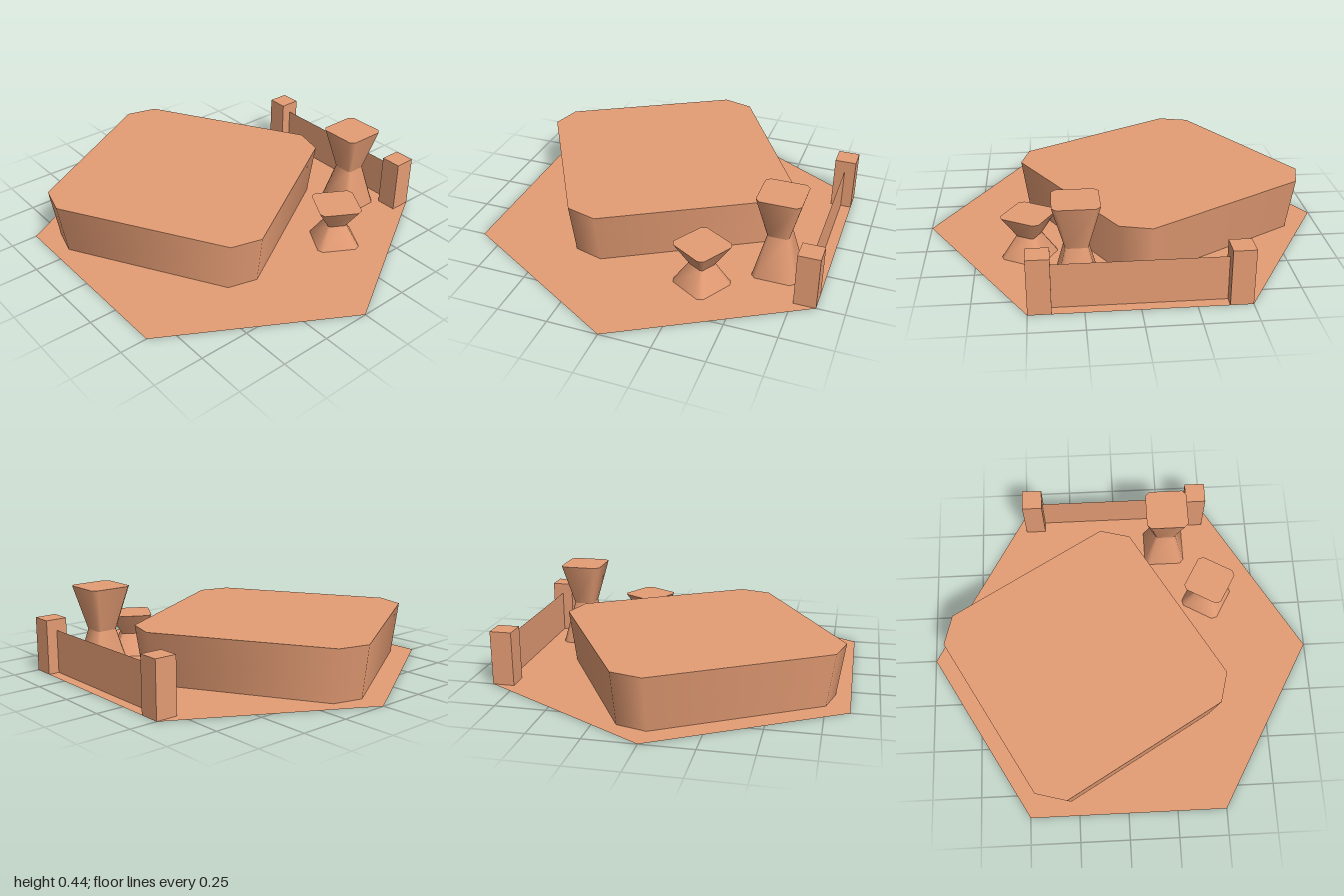
import * as THREE from 'three';

const clay = new THREE.MeshStandardMaterial({ color: 0xe49c74, side: THREE.DoubleSide });
clay.name = 'clay';

// Corner points of a square with cut corners, running from +x towards +z
function cutSquare(half, y) {
  const e = half * 0.8;
  return [[half, -e], [half, e], [e, half], [-e, half], [-half, e], [-half, -e], [-e, -half], [e, -half]]
    .map(([x, z]) => [x, y, z]);
}

function indexed(points, normals, index) {
  const geometry = new THREE.BufferGeometry();
  geometry.setAttribute('position', new THREE.Float32BufferAttribute(points.flat(), 3));
  geometry.setAttribute('normal', new THREE.Float32BufferAttribute(normals.flat(), 3));
  geometry.setIndex(index);
  geometry.normalizeNormals();
  return geometry;
}

// Wall between two levels, shaded smoothly around the corners
function bandGeometry([half0, y0], [half1, y1]) {
  const lower = cutSquare(half0, y0), upper = cutSquare(half1, y1);
  const n = lower.length, index = [];
  const slope = (half0 - half1) / (y1 - y0);
  const normals = lower.map((_, i) => {
    const angle = (i - 0.5) * Math.PI / 4;
    return [Math.cos(angle), slope, Math.sin(angle)];
  });
  for (let i = 0; i < n; i++) {
    const j = (i + 1) % n;
    index.push(i, i + n, j, j, i + n, j + n);
  }
  return indexed([...lower, ...upper], [...normals, ...normals], index);
}

// Flat lid on a level
function lidGeometry([half, y]) {
  const ring = cutSquare(half, y), index = [];
  for (let i = 1; i < ring.length - 1; i++) index.push(0, i + 1, i);
  return indexed(ring, ring.map(() => [0, 1, 0]), index);
}

function addMesh(parent, name, geometry, x = 0, y = 0, z = 0) {
  const mesh = new THREE.Mesh(geometry, clay);
  mesh.name = name;
  mesh.position.set(x, y, z);
  parent.add(mesh);
}

// Stack of cut-square levels [half width, height], closed on top
function addStack(parent, name, levels, x, z, turn) {
  const group = new THREE.Group();
  group.name = name;
  for (let i = 1; i < levels.length; i++) addMesh(group, 'side' + i, bandGeometry(levels[i - 1], levels[i]));
  addMesh(group, 'lid', lidGeometry(levels[levels.length - 1]));
  group.position.set(x, 0, z);
  group.rotation.y = turn;
  parent.add(group);
}

export function createModel() {
  const model = new THREE.Group();
  model.name = 'hexTile';

  // Six-sided ground sheet
  addMesh(model, 'ground', new THREE.CircleGeometry(1, 6, Math.PI / 2).rotateX(-Math.PI / 2));

  // Large block flaring upwards
  addStack(model, 'platform', [[0.539, 0], [0.569, 0.262]], -0.11, -0.19, Math.PI / 6);

  // Waisted stands
  addStack(model, 'shortStand', [[0.107, 0], [0.048, 0.11], [0.107, 0.218]], 0.312, 0.49, -Math.PI / 6);
  addStack(model, 'tallStand', [[0.108, 0], [0.053, 0.218], [0.108, 0.435]], 0.628, 0.272, 0);

  // Fence: two posts and a thin panel between them
  const fence = new THREE.Group();
  fence.name = 'fence';
  for (const s of [-1, 1]) {
    addMesh(fence, s > 0 ? 'frontPost' : 'backPost', new THREE.BoxGeometry(0.108, 0.272, 0.106), 0.812, 0.136, s * 0.447);
  }
  addMesh(fence, 'panel', new THREE.PlaneGeometry(0.79, 0.217).rotateY(Math.PI / 2), 0.812, 0.1085, 0);
  model.add(fence);

  return model;
}
